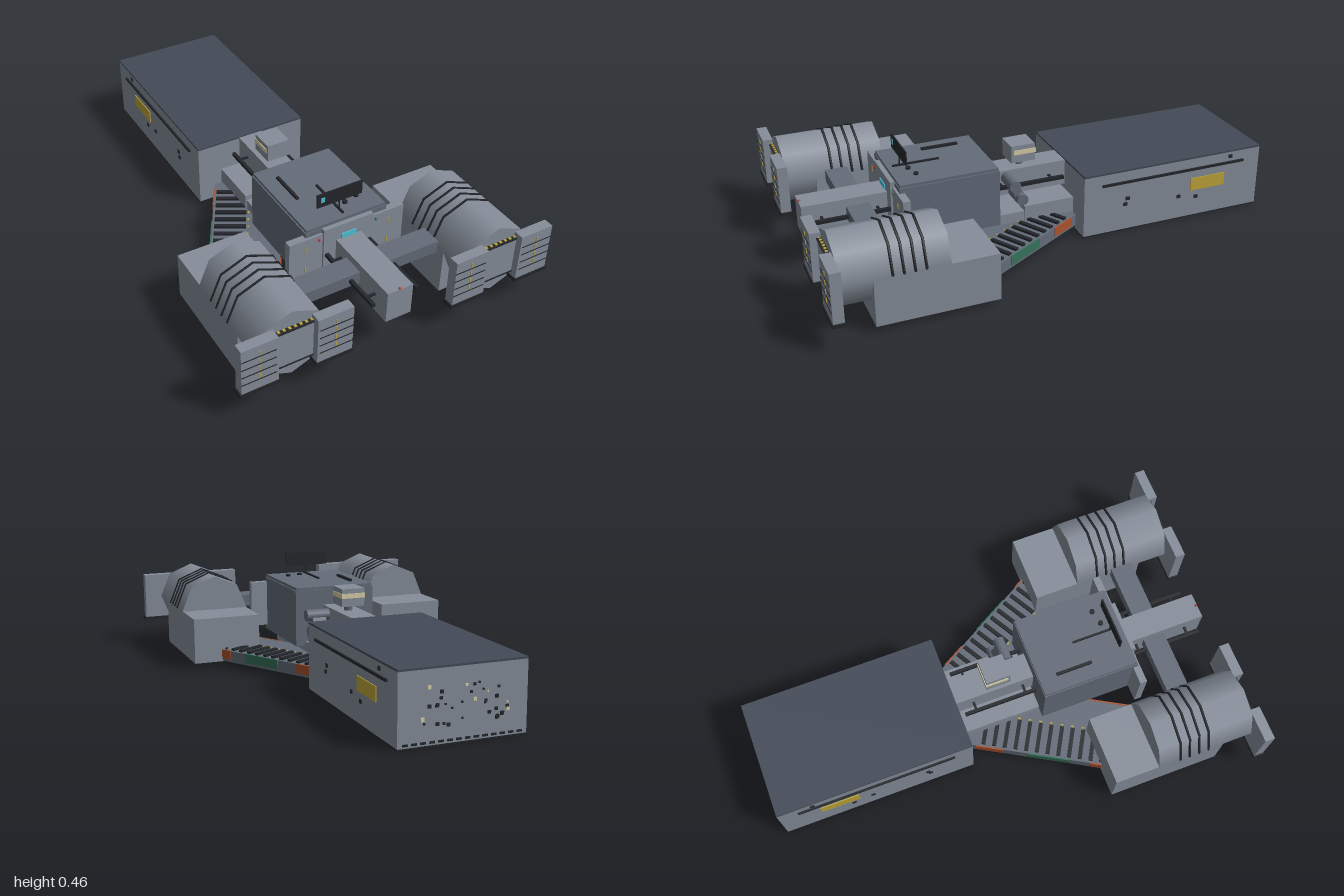
import * as THREE from 'three';

const mat = (color) => new THREE.MeshStandardMaterial({ color, side: THREE.DoubleSide });
const HULL = mat(0x868e9a), SLATE = mat(0x646c79), ROOF = mat(0x434b58), DARK = mat(0x23262b);
const ORANGE = mat(0xa8512f), GREEN = mat(0x35705a), YELLOW = mat(0xbfa63a);
const CYAN = mat(0x4fc3d9), CREAM = mat(0xd8cfa8), RED = mat(0xc03a2a);

function add(parent, name, geometry, material, x = 0, y = 0, z = 0) {
  const m = new THREE.Mesh(geometry, material);
  m.name = name;
  m.position.set(x, y, z);
  parent.add(m);
  return m;
}

// Box given by its limits on each axis
function box(parent, name, material, [x0, x1], [y0, y1], [z0, z1]) {
  return add(parent, name, new THREE.BoxGeometry(Math.abs(x1 - x0), y1 - y0, Math.abs(z1 - z0)), material,
    (x0 + x1) / 2, (y0 + y1) / 2, (z0 + z1) / 2);
}

function seeded(seed) {
  return () => (seed = (seed * 16807) % 2147483647) / 2147483647;
}

// Long cargo block at the back
function cargoBlock() {
  const g = new THREE.Group();
  g.name = 'cargoBlock';
  box(g, 'cargoBody', HULL, [-0.25, 0.25], [0.005, 0.272], [-0.99, -0.155]);
  box(g, 'cargoRoof', ROOF, [-0.25, 0.25], [0.272, 0.28], [-0.99, -0.155]);
  box(g, 'cargoFloor', DARK, [-0.25, 0.25], [0, 0.005], [-0.99, -0.155]);
  for (const s of [-1, 1]) {
    box(g, 'sideRail', DARK, [s * 0.25, s * 0.258], [0.22, 0.23], [-0.91, -0.235]);
    box(g, 'sidePanel', YELLOW, [s * 0.25, s * 0.254], [0.125, 0.182], [-0.82, -0.655]);
    for (const [y, z] of [[0.115, -0.345], [0.14, -0.355], [0.085, -0.685], [0.245, -0.845], [0.1, -0.6]])
      box(g, 'sidePort', DARK, [s * 0.25, s * 0.254], [y, y + 0.015], [z - 0.009, z + 0.009]);
  }
  // Small fittings scattered over the rear wall
  const rnd = seeded(17);
  for (let i = 0; i < 34; i++) {
    const x = (rnd() - 0.5) * 0.34, y = 0.07 + rnd() * 0.14, r = 0.003 + rnd() * 0.004;
    box(g, 'rearFitting', i % 5 ? DARK : CREAM, [x - r, x + r], [y - r, y + r], [-0.995, -0.99]);
  }
  for (let i = 0; i < 14; i++) {
    const x = -0.22 + i * 0.034;
    box(g, 'rearTrim', DARK, [x - 0.01, x + 0.01], [0.012, 0.02], [-0.994, -0.99]);
  }
  return g;
}

// V-shaped wing slab, drawn in x and z
function vSlab(thickness) {
  const half = [[0.18, -0.15], [0.56, 0.515], [0.3, 0.63]];
  const pts = [...half, [0, 0.1], ...half.map(([x, z]) => [-x, z]).reverse()];
  const shape = new THREE.Shape(pts.map(([x, z]) => new THREE.Vector2(x, z)));
  return new THREE.ExtrudeGeometry(shape, { depth: thickness, bevelEnabled: false }).rotateX(Math.PI / 2);
}

function wings() {
  const g = new THREE.Group();
  g.name = 'wings';
  add(g, 'wingSlab', vSlab(0.05), SLATE, 0, 0.077, 0);
  add(g, 'wingUnderside', vSlab(0.008), DARK, 0, 0.027, 0);
  for (const s of [-1, 1]) {
    // Local frame: z runs along the arm, s * x points to its outer edge
    const arm = new THREE.Group();
    arm.name = s > 0 ? 'leftArmDetail' : 'rightArmDetail';
    arm.position.x = s * 0.104;
    arm.rotation.y = s * 0.519;
    g.add(arm);
    for (let i = 0; i < 13; i++) {
      const t = -0.04 + i * 0.046;
      box(arm, 'wingRib', DARK, [s * 0.0, s * 0.13], [0.077, 0.086], [t, t + 0.017]);
      box(arm, 'wingMark', YELLOW, [s * -0.012, s * -0.006], [0.077, 0.08], [t, t + 0.012]);
    }
    const outer = [s * 0.138, s * 0.144], edge = [0.038, 0.078];
    box(arm, 'outerPanel', ORANGE, outer, edge, [-0.06, 0.056]);
    box(arm, 'outerPanel', GREEN, outer, edge, [0.16, 0.345]);
    box(arm, 'outerPanel', ORANGE, outer, edge, [0.43, 0.52]);
    box(arm, 'innerPanel', ORANGE, [s * -0.138, s * -0.145], edge, [0.388, 0.62]);
  }
  return g;
}

// Engine pod with octagonal barrel and split front plates
function pod(s) {
  const g = new THREE.Group();
  g.name = s > 0 ? 'leftPod' : 'rightPod';
  g.position.x = s * 0.442;
  box(g, 'podBase', HULL, [-0.146, 0.146], [0.025, 0.22], [0.345, 0.825]);
  add(g, 'podBarrel', new THREE.CylinderGeometry(0.148, 0.148, 0.415, 8).rotateX(Math.PI / 2), HULL, 0, 0.222, 0.742);
  for (let i = 0; i < 4; i++)
    add(g, 'barrelHoop', new THREE.TorusGeometry(0.149, 0.0055, 4, 4, Math.PI), DARK, 0, 0.222, 0.628 + i * 0.042);
  box(g, 'intakeFace', HULL, [-0.104, 0.104], [0.143, 0.3], [0.94, 0.966]);
  for (const y of [0.14, 0.299])
    box(g, 'intakeTrim', DARK, [-0.104, 0.104], [y, y + 0.005], [0.94, 0.969]);
  for (let i = 0; i < 8; i++)
    box(g, 'intakeMark', YELLOW, [-0.085 + i * 0.022, -0.075 + i * 0.022], [0.304, 0.307], [0.952, 0.962]);
  for (const e of [-1, 1]) {
    box(g, 'frontPlate', HULL, [e * 0.077, e * 0.222], [0.12, 0.325], [0.952, 0.994]);
    box(g, 'plateFoot', DARK, [e * 0.073, e * 0.228], [0.11, 0.124], [0.95, 0.998]);
    for (let i = 0; i < 4; i++) {
      const y = 0.165 + i * 0.036;
      box(g, 'plateGroove', DARK, [e * 0.085, e * 0.222], [y, y + 0.003], [0.994, 0.996]);
      box(g, 'plateMark', YELLOW, [e * 0.149, e * 0.154], [y + 0.008, y + 0.027], [0.994, 0.997]);
    }
  }
  return g;
}

// Command block with top fittings, windows and sign
function commandBlock() {
  const g = new THREE.Group();
  g.name = 'commandBlock';
  box(g, 'commandBody', SLATE, [-0.18, 0.18], [0.1, 0.342], [0.187, 0.6]);
  box(g, 'commandRoof', SLATE, [-0.175, 0.175], [0.342, 0.354], [0.19, 0.597]);
  box(g, 'frontBulkhead', HULL, [-0.255, 0.255], [0.12, 0.322], [0.58, 0.61]);
  box(g, 'bulkheadPanel', HULL, [-0.11, 0.11], [0.13, 0.342], [0.6, 0.618]);
  for (const y of [0.14, 0.278])
    box(g, 'window', CYAN, [-0.033, 0.033], [y, y + 0.022], [0.615, 0.622]);
  for (const s of [-1, 1]) {
    add(g, 'navigationLight', new THREE.SphereGeometry(0.006, 8, 6), s > 0 ? GREEN : RED, s * 0.127, 0.302, 0.612);
    for (const y of [0.165, 0.26])
      box(g, 'bulkheadMark', YELLOW, [s * 0.182, s * 0.187], [y, y + 0.025], [0.61, 0.613]);
  }
  for (let i = 0; i < 10; i++)
    box(g, 'lowerMark', YELLOW, [-0.12 + i * 0.025, -0.105 + i * 0.025], [0.124, 0.129], [0.61, 0.622]);
  box(g, 'roofRail', DARK, [-0.114, -0.102], [0.354, 0.364], [0.265, 0.42]);
  box(g, 'roofSpar', DARK, [-0.004, 0.004], [0.354, 0.361], [0.38, 0.575]);
  for (const [x, z] of [[0.1, 0.508], [0.04, 0.522]])
    add(g, 'roofHatch', new THREE.CylinderGeometry(0.011, 0.011, 0.008, 10), DARK, x, 0.358, z);

  // Sign on a thin mast
  add(g, 'signMast', new THREE.CylinderGeometry(0.003, 0.003, 0.05, 6), DARK, 0, 0.375, 0.545);
  box(g, 'signBoard', DARK, [-0.1, 0.1], [0.395, 0.455], [0.542, 0.548]);
  box(g, 'signLamp', CYAN, [-0.084, -0.067], [0.416, 0.438], [0.548, 0.55]);
  return g;
}

// Central beam, crossbar, rods, neck and rear lookout
function spine() {
  const g = new THREE.Group();
  g.name = 'spine';
  box(g, 'rearBeam', HULL, [-0.055, 0.055], [0.165, 0.275], [-0.155, 0.19]);
  box(g, 'noseBeam', HULL, [-0.055, 0.055], [0.142, 0.277], [0.6, 0.96]);
  add(g, 'noseLight', new THREE.SphereGeometry(0.006, 8, 6), RED, 0, 0.277, 0.955);
  box(g, 'crossbar', SLATE, [-0.3, 0.3], [0.194, 0.246], [0.692, 0.785]);
  box(g, 'neck', HULL, [-0.145, 0.145], [0.01, 0.143], [-0.157, 0.065]);
  box(g, 'neckBridge', HULL, [-0.14, 0.14], [0.03, 0.12], [0.06, 0.56]);
  for (const s of [-1, 1]) {
    for (const [z0, z1] of [[-0.13, 0.19], [0.61, 0.935]]) {
      box(g, 'rod', DARK, [s * 0.088, s * 0.102], [0.213, 0.228], [z0, z1]);
      for (const z of [z0 + 0.05, z1 - 0.05])
        box(g, 'rodBracket', DARK, [s * 0.05, s * 0.095], [0.217, 0.224], [z - 0.005, z + 0.005]);
    }
  }
  // Rear lookout on its post
  add(g, 'lookoutPost', new THREE.CylinderGeometry(0.018, 0.018, 0.04, 10), SLATE, 0, 0.288, 0.033);
  box(g, 'lookout', HULL, [-0.05, 0.05], [0.3, 0.375], [-0.02, 0.085]);
  box(g, 'lookoutWindow', CREAM, [-0.053, 0.053], [0.335, 0.355], [-0.023, 0.075]);
  // Side crank on the left
  for (const [y, z] of [[0.248, 0.112], [0.182, 0.08]])
    add(g, 'crankDrum', new THREE.CylinderGeometry(0.025, 0.025, 0.1, 12).rotateZ(Math.PI / 2), SLATE, 0.112, y, z);
  const link = box(g, 'crankLink', SLATE, [0.08, 0.14], [0.18, 0.25], [0.078, 0.114]);
  link.rotation.x = 0.45;
  return g;
}

export function createModel() {
  const model = new THREE.Group();
  model.name = 'spaceFreighter';
  model.add(cargoBlock(), wings(), pod(1), pod(-1), commandBlock(), spine());
  return model;
}
